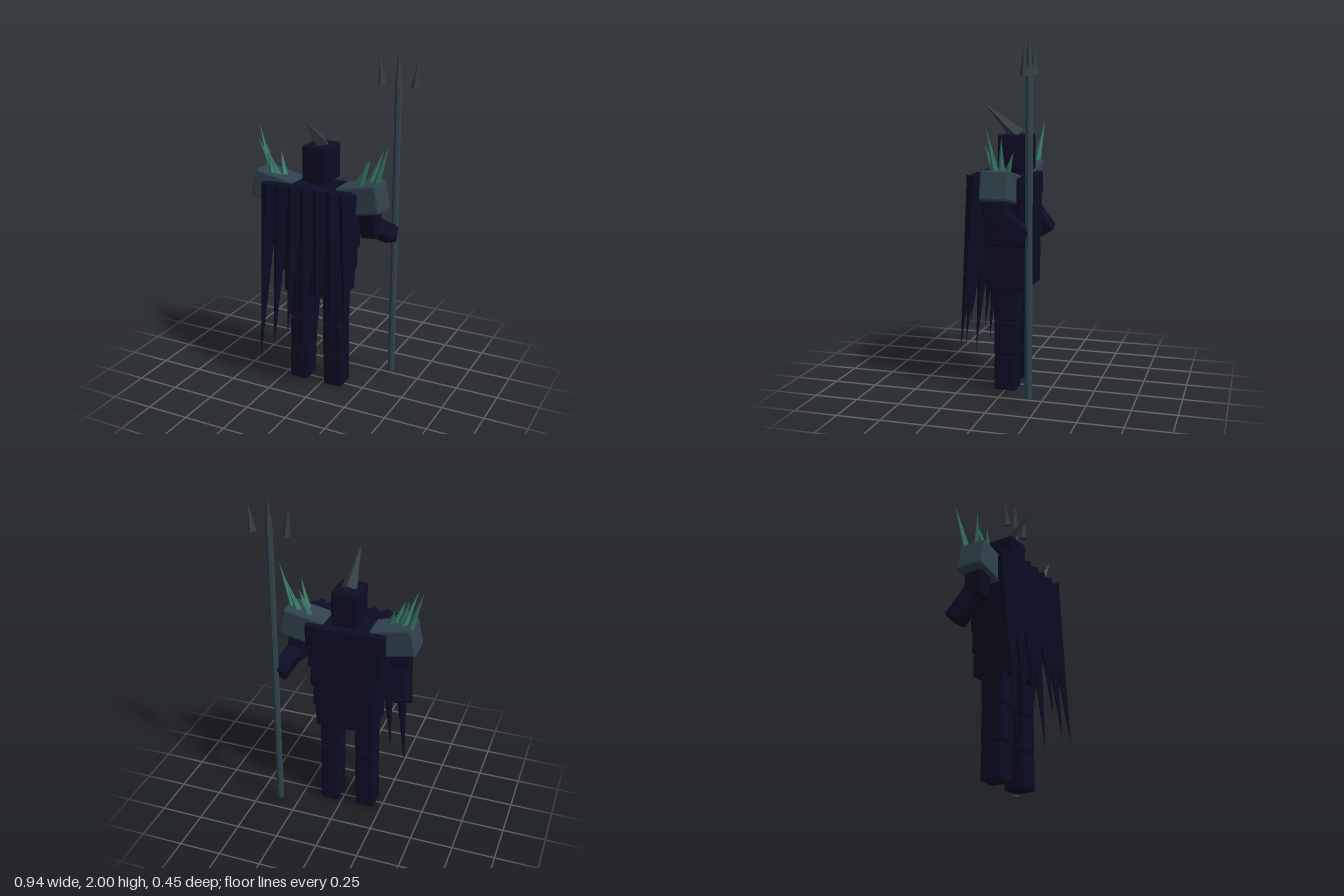
import * as THREE from 'three';
import { RoundedBoxGeometry } from 'three/addons/geometries/RoundedBoxGeometry.js';

const CX = -0.037; // body centre line

export function createModel() {
  const model = new THREE.Group();
  model.name = 'armouredWarrior';

  const material = (name, color) => {
    const m = new THREE.MeshStandardMaterial({ color, flatShading: true });
    m.name = name;
    return m;
  };
  const cloth = material('midnight', 0x0c0c24);
  const slate = material('slate', 0x31424d);
  const teal = material('teal', 0x3a7869);
  const iron = material('iron', 0x333f42);

  const add = (name, geometry, mat, parent = model) => {
    const mesh = new THREE.Mesh(geometry, mat);
    mesh.name = name;
    parent.add(mesh);
    return mesh;
  };
  const group = (name) => {
    const g = new THREE.Group();
    g.name = name;
    model.add(g);
    return g;
  };

  // Chamfered block
  const block = (name, size, pos, mat, parent, bevel = 0.012) => {
    const mesh = add(name, new RoundedBoxGeometry(...size, 1, bevel), mat, parent);
    mesh.position.set(...pos);
    return mesh;
  };

  // Four-sided spike from the centre of its base to its tip
  const spike = (name, base, tip, radius, mat, parent) => {
    const a = new THREE.Vector3(...base), b = new THREE.Vector3(...tip);
    const dir = b.clone().sub(a);
    const geometry = new THREE.ConeGeometry(radius, dir.length(), 4);
    const down = dir.y < 0;
    if (down) geometry.rotateX(Math.PI);
    const mesh = add(name, geometry, mat, parent);
    mesh.quaternion.setFromUnitVectors(new THREE.Vector3(0, down ? -1 : 1, 0), dir.normalize());
    mesh.position.copy(a).add(b).multiplyScalar(0.5);
  };

  // Chamfered limb segment between two points
  const limb = (name, from, to, width, depth, parent) => {
    const a = new THREE.Vector3(...from), b = new THREE.Vector3(...to);
    const dir = b.clone().sub(a);
    const mesh = block(name, [width, dir.length(), depth], [0, 0, 0], cloth, parent);
    mesh.position.copy(a).add(b).multiplyScalar(0.5);
    mesh.quaternion.setFromUnitVectors(new THREE.Vector3(0, -1, 0), dir.normalize());
  };

  // Head and horn
  block('head', [0.155, 0.205, 0.185], [CX, 1.362, -0.027], cloth);
  block('neck', [0.09, 0.08, 0.1], [CX, 1.25, -0.02], cloth);
  spike('horn', [CX, 1.455, -0.037], [CX, 1.637, 0.167], 0.046, iron);

  // Torso of five stacked blocks, wider toward the shoulders
  const torso = group('torso');
  for (let i = 0; i < 5; i++) {
    block('torsoBand', [0.35 + i * 0.03, 0.135, 0.235], [CX, 0.655 + i * 0.129, -0.007], cloth, torso);
  }

  // Legs of three segments
  for (const side of [-1, 1]) {
    const leg = group(side > 0 ? 'leftLeg' : 'rightLeg');
    const x = CX + side * 0.108;
    block('thigh', [0.115, 0.2, 0.14], [x, 0.51, -0.005], cloth, leg);
    block('shin', [0.113, 0.205, 0.138], [x, 0.307, -0.005], cloth, leg);
    block('foot', [0.116, 0.2, 0.13], [x + side * 0.004, 0.105, -0.004], cloth, leg)
      .rotation.z = side * 0.02;
  }

  // Arms: both forearms reach backward, the left one to the staff
  const rightArm = group('rightArm');
  limb('upperArm', [-0.335, 1.2, 0], [-0.35, 0.98, -0.02], 0.1, 0.11, rightArm);
  limb('forearm', [-0.34, 1.05, 0], [-0.385, 0.855, -0.13], 0.1, 0.1, rightArm);
  const leftArm = group('leftArm');
  limb('upperArm', [0.265, 1.2, 0], [0.28, 0.97, -0.03], 0.1, 0.11, leftArm);
  limb('forearm', [0.27, 1.04, -0.01], [0.335, 0.93, -0.19], 0.09, 0.1, leftArm);

  // Tilted shoulder pads
  for (const side of [-1, 1]) {
    block(side > 0 ? 'leftShoulderPad' : 'rightShoulderPad',
      [0.247, 0.165, 0.167], [CX + side * 0.2675, 1.19, -0.007], slate)
      .rotation.z = side * 0.2;
  }

  // Shoulder spikes, each as base then tip
  const shoulderSpikes = {
    rightShoulderSpikes: [
      [[-0.39, 1.275, -0.055], [-0.47, 1.525, -0.085]],
      [[-0.345, 1.265, -0.02], [-0.413, 1.475, 0.03]],
      [[-0.315, 1.26, 0.03], [-0.375, 1.43, -0.005]],
      [[-0.285, 1.255, 0.02], [-0.34, 1.4, 0.045]],
      [[-0.26, 1.25, -0.005], [-0.312, 1.39, -0.055]],
    ],
    leftShoulderSpikes: [
      [[0.31, 1.275, -0.005], [0.398, 1.525, 0.02]],
      [[0.265, 1.265, -0.025], [0.34, 1.475, -0.045]],
      [[0.23, 1.255, 0.025], [0.285, 1.43, 0.065]],
      [[0.205, 1.25, -0.02], [0.27, 1.4, -0.015]],
      [[0.19, 1.245, -0.03], [0.237, 1.39, -0.085]],
    ],
  };
  for (const [name, list] of Object.entries(shoulderSpikes)) {
    const g = group(name);
    for (const [base, tip] of list) spike('shoulderSpike', base, tip, 0.022, teal, g);
  }

  // Ragged cape of hanging spikes that fan outward
  const cape = group('cape');
  const capeTips = [0.165, 0.27, 0.37, 0.165, 0.37, 0.27, 0.27];
  capeTips.forEach((y, i) => {
    const k = i - 3;
    spike('capeStrip', [CX + k * 0.079, 1.245, 0.135], [CX + k * 0.0925, y, 0.224], 0.06, cloth, cape);
  });

  // Three-pronged staff
  const staff = group('staff');
  add('shaft', new THREE.CylinderGeometry(0.021, 0.021, 1.735, 8), slate, staff)
    .position.set(0.348, 0.9225, -0.2);
  spike('middleProng', [0.348, 1.79, -0.2], [0.348, 2, -0.2], 0.026, iron, staff);
  for (const side of [-1, 1]) {
    spike('sideProng', [0.348 + side * 0.097, 1.792, -0.2], [0.348 + side * 0.114, 1.95, -0.2], 0.025, iron, staff);
  }
  return model;
}
